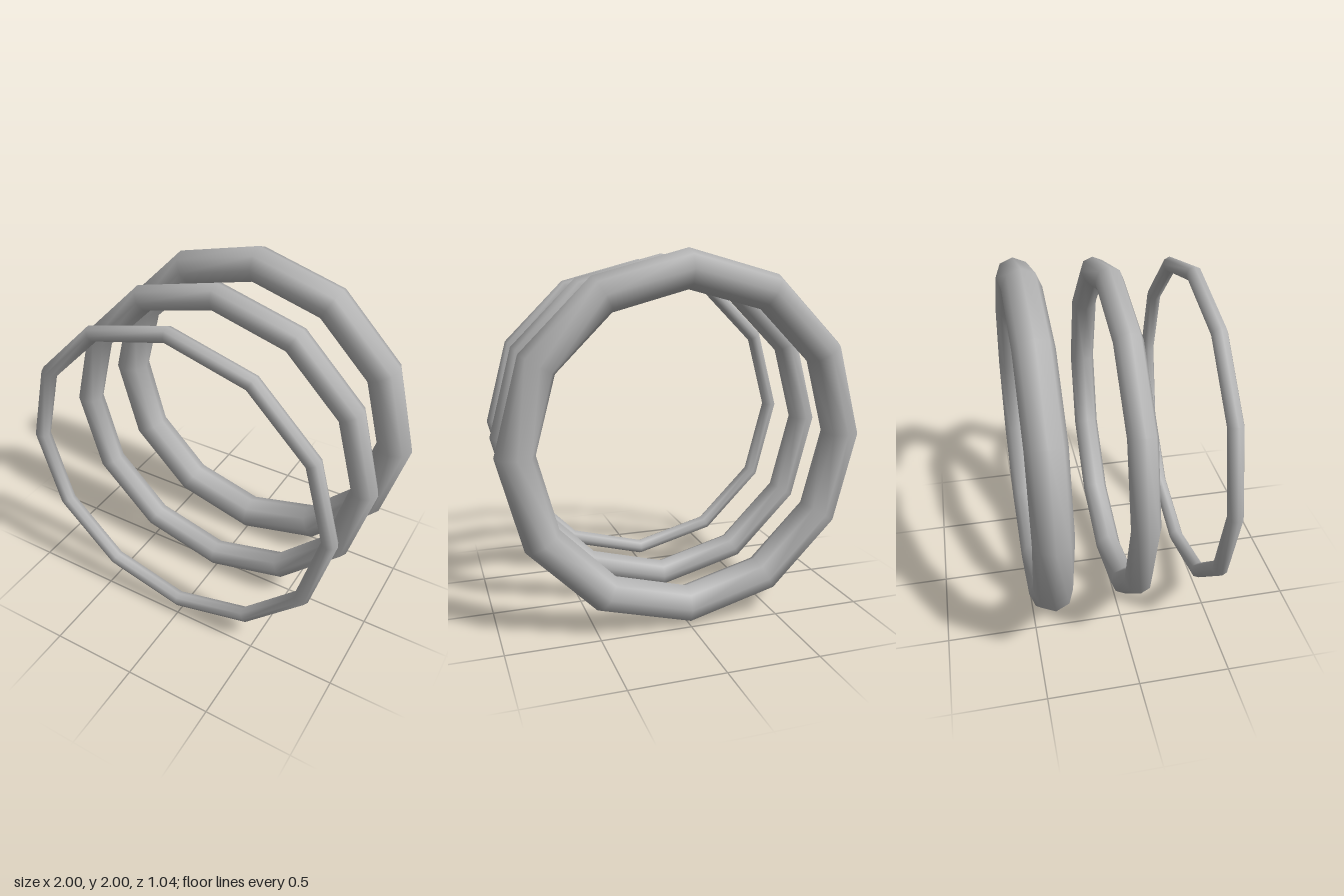
import * as THREE from 'three';

export function createModel() {
  const model = new THREE.Group();
  model.name = 'ringSet';
  const grey = new THREE.MeshStandardMaterial({ color: 0xb4b4b4 });
  grey.name = 'grey';

  // Three coaxial twelve-sided rings, thinning towards the front
  const ringRadius = 0.897;
  const rings = [
    { name: 'thickBackRing', tube: 0.103, z: -0.418 },
    { name: 'middleRing', tube: 0.075, z: 0.03 },
    { name: 'thinFrontRing', tube: 0.043, z: 0.478 },
  ];
  for (const { name, tube, z } of rings) {
    const ring = new THREE.Mesh(new THREE.TorusGeometry(ringRadius, tube, 8, 12), grey);
    ring.name = name;
    ring.position.set(0, 1, z);
    model.add(ring);
  }
  return model;
}
